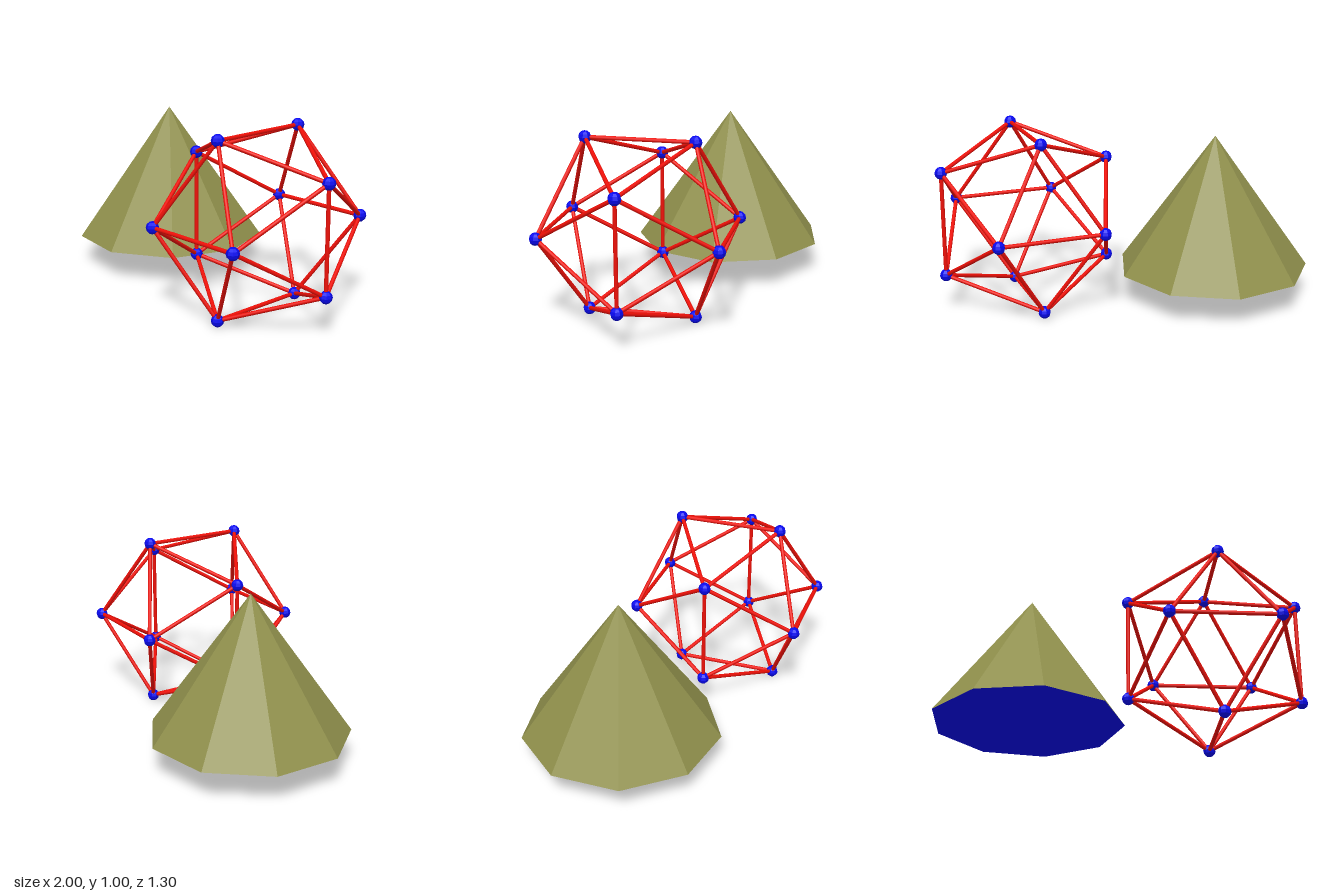
import * as THREE from 'three';

const olive = new THREE.MeshStandardMaterial({ color: 0x90904c, flatShading: true });
const blue = new THREE.MeshStandardMaterial({ color: 0x0808f0, flatShading: true });
const red = new THREE.MeshStandardMaterial({ color: 0xee1008 });

// Nine-sided pyramid with a separately coloured base
function createPyramid() {
  const group = new THREE.Group();
  group.name = 'pyramid';
  const radius = 0.535, height = 0.75, sides = 9;

  const slopes = new THREE.Mesh(
    new THREE.ConeGeometry(radius, height, sides, 1, true, Math.PI / 2), olive);
  slopes.name = 'pyramidSides';
  slopes.position.y = height / 2;

  const base = new THREE.Mesh(new THREE.CircleGeometry(radius, sides), blue);
  base.name = 'pyramidBase';
  base.rotation.x = Math.PI / 2;

  group.add(slopes, base);
  group.position.set(-0.497, 0.17, -0.125);
  return group;
}

// Open icosahedron: a ball on every corner, a rod along every edge
function createFrame() {
  const group = new THREE.Group();
  group.name = 'icosahedronFrame';
  const long = 0.464, short = long / ((1 + Math.sqrt(5)) / 2);

  const corners = [];
  for (const a of [-1, 1]) {
    for (const b of [-1, 1]) {
      corners.push(
        new THREE.Vector3(0, a * long, b * short),
        new THREE.Vector3(a * long, b * short, 0),
        new THREE.Vector3(a * short, 0, b * long));
    }
  }

  const ballGeometry = new THREE.SphereGeometry(0.034, 8, 6);
  const edge = 2 * short;
  const rodGeometry = new THREE.CylinderGeometry(0.0108, 0.0108, edge, 10, 1);
  const up = new THREE.Vector3(0, 1, 0);

  corners.forEach((p, i) => {
    const ball = new THREE.Mesh(ballGeometry, blue);
    ball.name = 'cornerBall';
    ball.position.copy(p);
    group.add(ball);

    // Neighbouring corners are exactly one edge length apart
    for (const q of corners.slice(i + 1)) {
      if (p.distanceTo(q) > edge * 1.01) continue;
      const rod = new THREE.Mesh(rodGeometry, red);
      rod.name = 'edgeRod';
      rod.position.copy(p).add(q).multiplyScalar(0.5);
      rod.quaternion.setFromUnitVectors(up, q.clone().sub(p).normalize());
      group.add(rod);
    }
  });

  group.position.set(0.502, 0.498, 0.155);
  return group;
}

export function createModel() {
  const model = new THREE.Group();
  model.name = 'pyramidAndFrame';
  model.add(createPyramid(), createFrame());
  return model;
}
